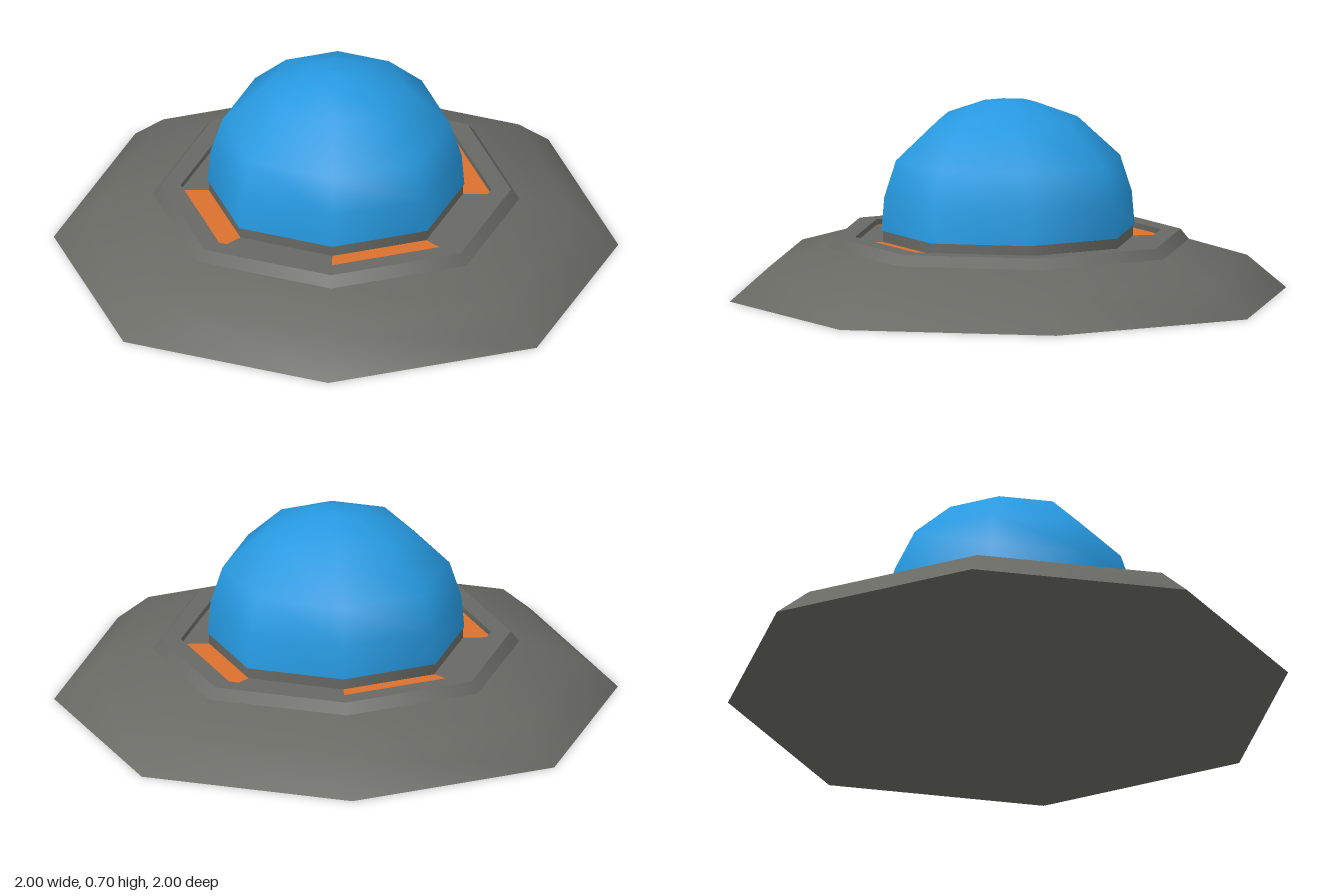
import * as THREE from 'three';

const SIDES = 8;

// Eight-sided turned surface; the diagonal corners sit slightly further out
function octagonLathe(profile, start = 0, sides = SIDES) {
  const points = profile.map(([r, y]) => new THREE.Vector2(r, y));
  const geometry = new THREE.LatheGeometry(points, sides, start, (sides * Math.PI) / 4);
  const pos = geometry.attributes.position;
  for (let i = 0; i < pos.count; i++) {
    const x = pos.getX(i), z = pos.getZ(i);
    if (Math.abs(x * z) > 1e-5) {
      pos.setX(i, x * 1.035);
      pos.setZ(i, z * 1.035);
    }
  }
  return geometry;
}

export function createModel() {
  const hull = new THREE.MeshStandardMaterial({ color: 0x686963 });
  hull.name = 'hullGrey';
  const glass = new THREE.MeshStandardMaterial({ color: 0x2699e0 });
  glass.name = 'domeBlue';
  const lamp = new THREE.MeshStandardMaterial({ color: 0xd9702e });
  lamp.name = 'panelOrange';

  const model = new THREE.Group();
  model.name = 'saucer';
  const add = (name, geometry, material) => {
    const mesh = new THREE.Mesh(geometry, material);
    mesh.name = name;
    model.add(mesh);
  };

  // Hull, split wherever the edge is sharp
  add('underside', octagonLathe([[0, 0], [1, 0]]), hull);
  add('brim', octagonLathe([[1, 0], [0.86, 0.12], [0.65, 0.183]]), hull);
  add('rimBevel', octagonLathe([[0.65, 0.183], [0.62, 0.22]]), hull);
  add('rimTop', octagonLathe([[0.62, 0.22], [0.55, 0.22]]), hull);
  add('rimInnerWall', octagonLathe([[0.55, 0.22], [0.55, 0.2]]), hull);

  // Recessed floor of alternating orange and grey panels
  for (let k = 0; k < SIDES; k++) {
    const panel = octagonLathe([[0.55, 0.2], [0.44, 0.2]], (k * Math.PI) / 4, 1);
    add(k % 2 ? 'greyPanel' : 'orangePanel', panel, k % 2 ? hull : lamp);
  }

  // Collar and dome
  add('collar', octagonLathe([[0.45, 0.2], [0.45, 0.24]]), hull);
  add('dome', octagonLathe([
    [0.455, 0.24], [0.445, 0.36], [0.403, 0.49], [0.25, 0.632], [0.1, 0.688], [0, 0.698],
  ]), glass);

  return model;
}
